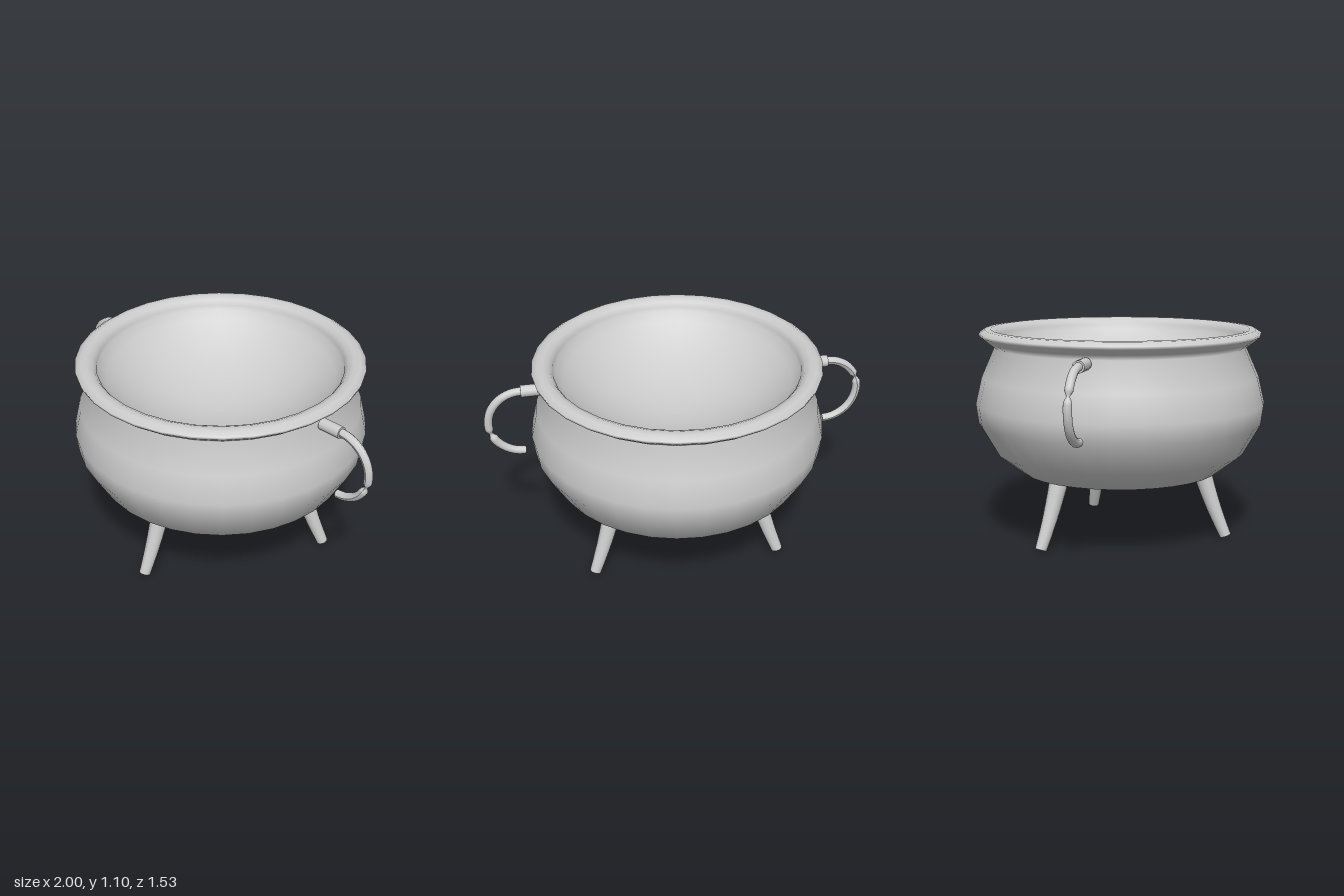
import * as THREE from 'three';

const grey = new THREE.MeshStandardMaterial({ color: 0xcccccc });
const thin = new THREE.MeshStandardMaterial({ color: 0xcccccc, side: THREE.DoubleSide });

function part(name, geometry, material = grey) {
  const mesh = new THREE.Mesh(geometry, material);
  mesh.name = name;
  return mesh;
}

// Tapered leg, splayed outwards with a very slight bow
function makeLeg(angle) {
  const top = new THREE.Vector3(0, 0.335, 0.453);
  const foot = new THREE.Vector3(0, 0.012, 0.577);
  const length = top.distanceTo(foot);
  const geo = new THREE.CylinderGeometry(0.048, 0.03, length, 16, 5);
  const pos = geo.attributes.position;
  for (let i = 0; i < pos.count; i++) {
    const t = pos.getY(i) / length + 0.5;
    pos.setZ(i, pos.getZ(i) - 0.006 * Math.sin(Math.PI * t));
  }
  geo.rotateX(-Math.atan2(foot.z - top.z, top.y - foot.y));
  geo.translate(0, (top.y + foot.y) / 2, (top.z + foot.z) / 2);
  geo.rotateY(angle);
  geo.computeVertexNormals();
  return part('leg', geo);
}

// Half-ring handle with a sharply pinched spot at pinchY
function makeHandle(name, pinchY) {
  const handle = new THREE.Group();
  handle.name = name;
  handle.position.z = 0.005;
  const cx = 0.8, cy = 0.817, R = 0.178;
  const pts = [];
  for (let i = 0; i <= 12; i++) {
    const a = Math.PI / 2 - (Math.PI * i) / 12;
    pts.push(new THREE.Vector3(cx + R * Math.cos(a), cy + R * Math.sin(a), 0));
  }
  const curve = new THREE.CatmullRomCurve3(pts);
  const rings = 60, sides = 10;
  const geo = new THREE.TubeGeometry(curve, rings, 0.022, sides);
  const pos = geo.attributes.position;
  const v = new THREE.Vector3();
  for (let i = 0; i < pos.count; i++) {
    const centre = curve.getPointAt(Math.floor(i / (sides + 1)) / rings);
    const d = Math.min(1, Math.abs(centre.y - pinchY) / 0.025);
    v.fromBufferAttribute(pos, i).sub(centre).multiplyScalar(0.35 + 0.65 * d).add(centre);
    pos.setXYZ(i, v.x, v.y, v.z);
  }
  geo.computeVertexNormals();
  handle.add(part('handleRing', geo));

  // Flat end of the ring
  const cap = part('handleEnd', new THREE.CircleGeometry(0.022, sides), thin);
  cap.position.set(cx, cy - R, 0);
  cap.rotation.y = -Math.PI / 2;
  handle.add(cap);

  // Socket joining the ring to the neck of the pot
  const socket = part('handleSocket', new THREE.CylinderGeometry(0.031, 0.031, 0.12, 12));
  socket.rotation.z = Math.PI / 2;
  socket.position.set(0.742, 0.994, 0);
  handle.add(socket);
  return handle;
}

export function createModel() {
  const model = new THREE.Group();
  model.name = 'cauldron';

  // Outside wall flowing through the neck and over the flared lip
  const profile = [
    [0, 0.3], [0.31, 0.3], [0.52, 0.35], [0.658, 0.455], [0.75, 0.615],
    [0.763, 0.715], [0.73, 0.855], [0.662, 1.01], [0.7, 1.038], [0.737, 1.068],
    [0.741, 1.083], [0.712, 1.102], [0.68, 1.104], [0.65, 1.09], [0.632, 1.065],
  ];
  // Inside: a shallow round dish running down from the lip
  const depth = 0.28, edge = 0.63;
  const radius = (edge * edge + depth * depth) / (2 * depth);
  const spread = Math.asin(edge / radius);
  for (let i = 0; i <= 12; i++) {
    const a = spread * (1 - i / 12);
    profile.push([radius * Math.sin(a), 1.04 - depth + radius * (1 - Math.cos(a))]);
  }
  const points = profile.map(([r, y]) => new THREE.Vector2(Math.max(r, 0), y));
  model.add(part('bowl', new THREE.LatheGeometry(points, 32), thin));

  // Three legs, one at the front
  for (let i = 0; i < 3; i++) model.add(makeLeg((i * Math.PI * 2) / 3));

  // Side handles
  model.add(makeHandle('leftHandle', 0.76));
  const right = makeHandle('rightHandle', 0.88);
  right.rotation.y = Math.PI;
  model.add(right);
  return model;
}
